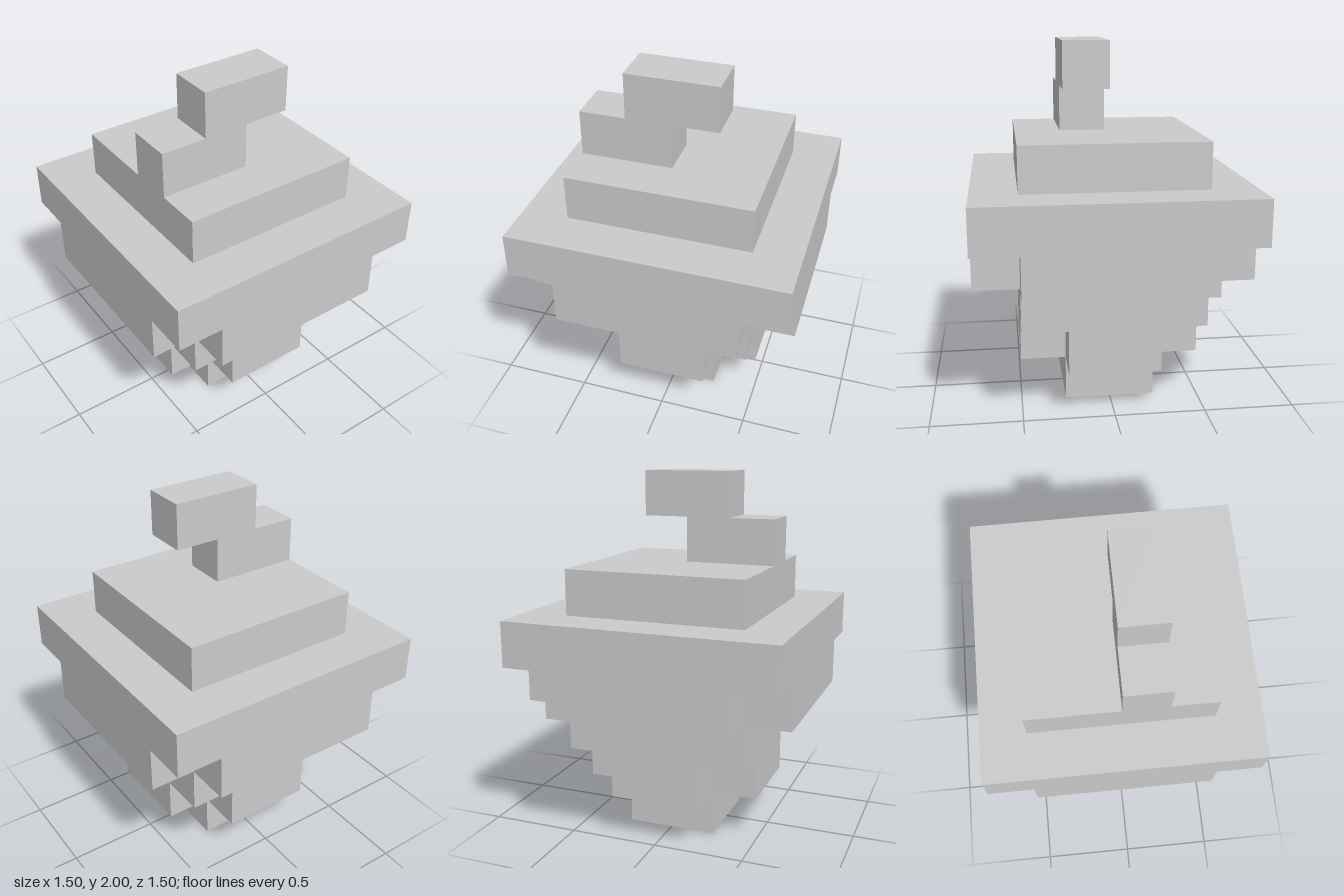
import * as THREE from 'three';

const U = 0.25; // edge of one block

const material = new THREE.MeshStandardMaterial({ color: 0xcccccc, flatShading: true });

function extrude(points, depth) {
  const shape = new THREE.Shape(points.map(([x, y]) => new THREE.Vector2(x, y)));
  return new THREE.ExtrudeGeometry(shape, { depth, bevelEnabled: false });
}

// Square slab one block high, centred on the vertical axis
function slab(halfWidth) {
  return new THREE.BoxGeometry(halfWidth * 2, U, halfWidth * 2).translate(0, U / 2, 0);
}

// Square slab with one block missing from each corner
function notchedSlab(h) {
  const n = h - U;
  const outline = [
    [n, -h], [n, -n], [h, -n], [h, n], [n, n], [n, h],
    [-n, h], [-n, n], [-h, n], [-h, -n], [-n, -n], [-n, -h],
  ];
  return extrude(outline, U).rotateX(-Math.PI / 2);
}

export function createModel() {
  const group = new THREE.Group();
  const add = (name, geometry, y) => {
    const mesh = new THREE.Mesh(geometry, material);
    mesh.name = name;
    mesh.position.y = y;
    group.add(mesh);
  };

  // Body layers from the bottom up
  const layers = [
    ['bottomTip', slab(U)],
    ['lowerNotchedTier', notchedSlab(2 * U)],
    ['lowerTier', slab(2 * U)],
    ['upperNotchedTier', notchedSlab(3 * U)],
    ['widestTier', slab(3 * U)],
    ['topTier', slab(2 * U)],
  ];
  layers.forEach(([name, geometry], i) => add(name, geometry, i * U));

  // Stepped stem: profile in z and y, extruded one block along x
  const profile = [
    [0, 0], [2 * U, 0], [2 * U, U], [U, U],
    [U, 2 * U], [-U, 2 * U], [-U, U], [0, U],
  ];
  add('stem', extrude(profile, U).rotateY(-Math.PI / 2).translate(U, 0, 0), 6 * U);

  return group;
}
